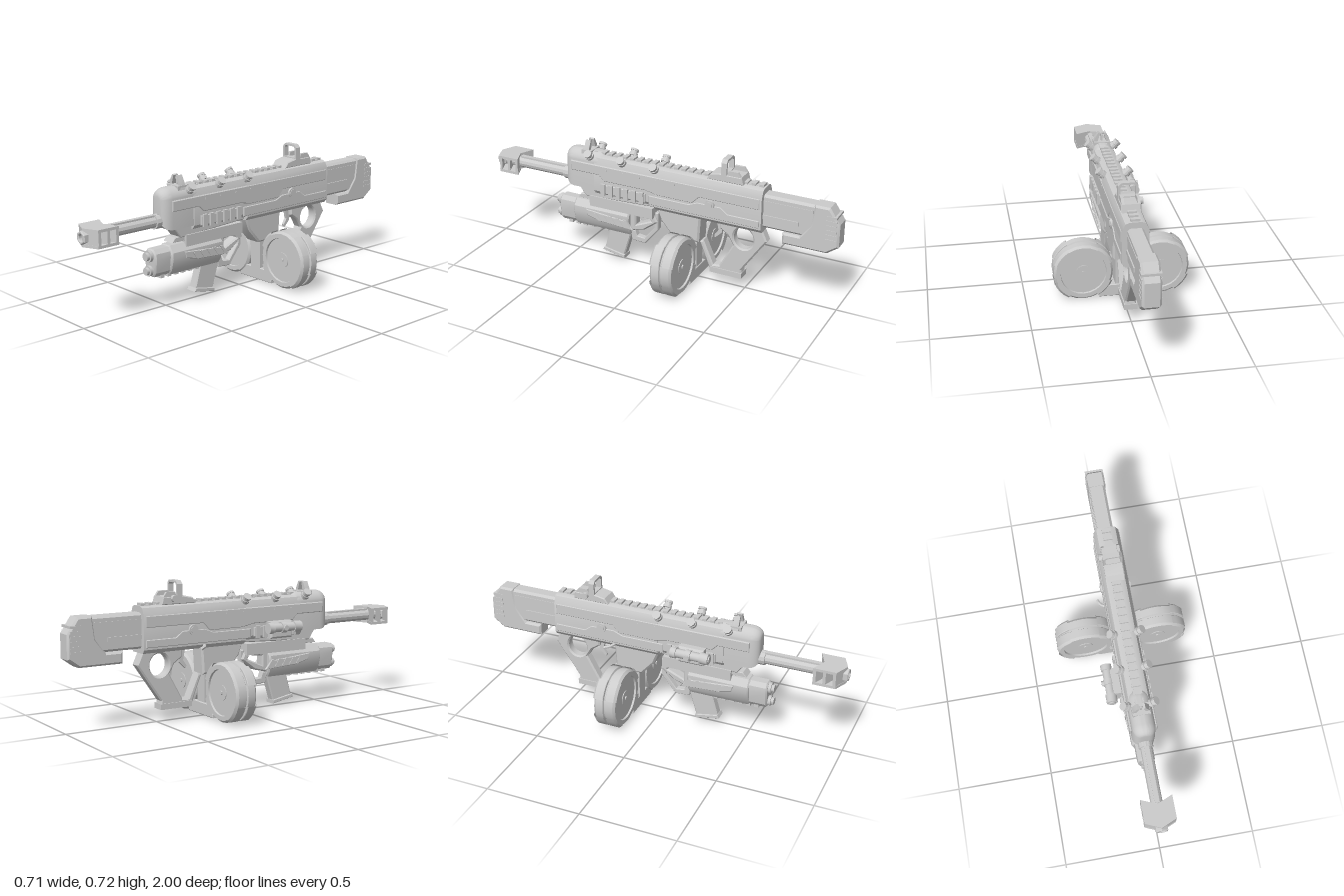
import * as THREE from 'three';
import { toCreasedNormals } from 'three/addons/utils/BufferGeometryUtils.js';

const grey = new THREE.MeshStandardMaterial({ color: 0xcccccc });

export function createModel() {
  const root = new THREE.Group();
  const V = (p) => new THREE.Vector2(p[0], p[1]);

  const add = (name, geo, parent = root) => {
    const mesh = new THREE.Mesh(toCreasedNormals(geo, 0.5), grey);
    mesh.name = name;
    parent.add(mesh);
    return mesh;
  };
  const box = (name, x0, x1, y0, y1, z0, z1, parent) =>
    add(name, new THREE.BoxGeometry(x1 - x0, y1 - y0, z1 - z0)
      .translate((x0 + x1) / 2, (y0 + y1) / 2, (z0 + z1) / 2), parent);
  // Cylinder along z
  const tube = (name, x, y, z0, z1, r, sides = 16, r2 = r) =>
    add(name, new THREE.CylinderGeometry(r2, r, z1 - z0, sides)
      .rotateX(Math.PI / 2).translate(x, y, (z0 + z1) / 2));
  // Solid with bevels kept inside the given depth
  const solid = (pts, depth, bevel, holes = []) => {
    const shape = new THREE.Shape(pts.map(V));
    holes.forEach((h) => shape.holes.push(h));
    return new THREE.ExtrudeGeometry(shape, {
      depth: depth - 2 * bevel, bevelEnabled: bevel > 0, bevelThickness: bevel,
      bevelSize: bevel, bevelOffset: -bevel, bevelSegments: 1, curveSegments: 12,
    }).translate(0, 0, bevel - depth / 2);
  };
  // Outline given as [z, y], width across x
  const side = (name, pts, width, bevel = 0, holes, x = 0) =>
    add(name, solid(pts, width, bevel, holes).rotateY(-Math.PI / 2).translate(x, 0, 0));
  // Outline given as [x, y], running from z0 to z1
  const front = (name, pts, z0, z1, bevel = 0, holes) =>
    add(name, solid(pts, z1 - z0, bevel, holes).translate(0, 0, (z0 + z1) / 2));
  const mirror = (half) => [...half, ...half.slice().reverse().map(([x, y]) => [-x, y])];
  const rectHole = (x0, x1, y0, y1) =>
    new THREE.Path([[x0, y0], [x1, y0], [x1, y1], [x0, y1]].map(V));
  const circle = (x, y, rx, ry = rx) => new THREE.Path().absellipse(x, y, rx, ry, 0, Math.PI * 2);

  // Receiver
  front('receiver', mirror([[0.05, 0.39], [0.065, 0.41], [0.066, 0.55], [0.05, 0.595], [0.03, 0.605]]), -0.3, 0.36);
  front('rearReceiver', mirror([[0.05, 0.37], [0.067, 0.39], [0.067, 0.56], [0.05, 0.598], [0.03, 0.606]]), -0.6, -0.0);
  side('lowerReceiver', [[0.47, 0.41], [0.43, 0.355], [0, 0.375], [0, 0.42]], 0.085, 0.005);

  // Rounded nose with a domed top
  const nose = new THREE.Shape();
  nose.moveTo(-0.02, 0.45);
  nose.lineTo(0.02, 0.45);
  nose.lineTo(0.02, 0.56);
  nose.absarc(0, 0.56, 0.02, 0, Math.PI);
  nose.lineTo(-0.02, 0.45);
  add('nose', new THREE.ExtrudeGeometry(nose, {
    depth: 0.14, bevelThickness: 0.055, bevelSize: 0.04, bevelSegments: 6, curveSegments: 12,
  }).translate(0, 0, 0.35));

  // Side panels, pivot pins and slotted side rails
  for (const s of [-1, 1]) {
    side('sidePanel', [[0.5, 0.505], [0.33, 0.505], [0.3, 0.475], [0.05, 0.475], [-0.02, 0.46],
      [-0.22, 0.46], [-0.26, 0.5], [-0.59, 0.5], [-0.59, 0.56], [0.5, 0.56]], 0.012, 0.004, [], s * 0.064);
    side('lowerPanel', [[0.03, 0.45], [-0.2, 0.45], [-0.25, 0.47], [-0.38, 0.47], [-0.42, 0.44],
      [-0.59, 0.44], [-0.59, 0.4], [0.03, 0.4]], 0.01, 0.003, [], s * 0.067);
    add('pivotPin', new THREE.CylinderGeometry(0.026, 0.026, 0.02, 16)
      .rotateZ(Math.PI / 2).translate(s * 0.068, 0.472, -0.32));
    add('pinCap', new THREE.CylinderGeometry(0.017, 0.017, 0.026, 16)
      .rotateZ(Math.PI / 2).translate(s * 0.068, 0.472, -0.32));
    side('sideRail', [[0.32, 0.405], [0.05, 0.405], [0.05, 0.455], [0.32, 0.455]], 0.02, 0.003, [], s * 0.063);
    for (let i = 0; i < 6; i++) {
      const z = 0.3 - i * 0.046;
      box('railTooth', s * 0.077 - 0.006, s * 0.077 + 0.006, 0.398, 0.462, z - 0.013, z + 0.013);
    }
    for (let i = 0; i < 5; i++)
      box('rivet', s * 0.067 - 0.005, s * 0.067 + 0.005, 0.536, 0.544, 0.28 - i * 0.1, 0.29 - i * 0.1);
  }

  // Top rail
  box('topRail', -0.018, 0.018, 0.595, 0.608, -0.59, 0.44);
  for (let i = 0; i < 24; i++)
    box('topRailTooth', -0.023, 0.023, 0.606, 0.618, -0.59 + i * 0.043, -0.567 + i * 0.043);

  // Three pairs of angled knobs
  for (const z of [0.385, 0.19, 0]) for (const s of [-1, 1]) {
    const knob = new THREE.Group();
    knob.name = 'angledKnob';
    [[0.014, 0, 0.05], [0.023, 0.03, 0.016], [0.019, 0.044, 0.012], [0.022, 0.055, 0.012]].forEach(([r, y, h]) =>
      add('knobRing', new THREE.CylinderGeometry(r, r, h, 12).translate(0, y, 0), knob));
    knob.position.set(s * 0.042, 0.58, z);
    knob.rotation.z = -s * Math.PI / 4;
    root.add(knob);
  }

  // Front sight
  box('frontSightBase', -0.045, 0.045, 0.595, 0.622, 0.385, 0.445);
  for (const s of [-1, 1])
    front('frontSightWing', [[s * 0.048, 0.6], [s * 0.03, 0.6], [s * 0.01, 0.668], [s * 0.02, 0.672], [s * 0.04, 0.635]], 0.4, 0.43);
  box('frontSightPost', -0.004, 0.004, 0.61, 0.652, 0.412, 0.42);
  add('frontSightRing', new THREE.TorusGeometry(0.009, 0.003, 6, 12).translate(0, 0.657, 0.416));

  // Rear sight with an open frame
  side('rearSightBase', [[-0.29, 0.605], [-0.31, 0.635], [-0.36, 0.645], [-0.48, 0.645], [-0.49, 0.605]], 0.1, 0.005);
  front('rearSightFrame', mirror([[0.05, 0.625], [0.05, 0.705], [0.034, 0.722]]), -0.4, -0.37, 0,
    [new THREE.Path(mirror([[0.038, 0.65], [0.038, 0.7], [0.03, 0.711]]).map(V))]);
  for (const s of [-1, 1])
    side('rearSightEar', [[-0.4, 0.64], [-0.41, 0.668], [-0.46, 0.668], [-0.48, 0.64]], 0.014, 0, [], s * 0.04);
  add('sightDial', new THREE.CylinderGeometry(0.018, 0.018, 0.02, 12)
    .rotateZ(Math.PI / 2).translate(-0.058, 0.635, -0.42));

  // Barrel and muzzle brake
  tube('barrel', 0, 0.455, 0.45, 0.9, 0.03, 12);
  tube('barrelCollar', 0, 0.455, 0.5, 0.57, 0.038, 12);
  box('barrelRib', -0.012, 0.012, 0.478, 0.491, 0.5, 0.86);
  const chevron = (name, back, length, y0, y1, w = 0.08) =>
    add(name, solid([[-w, back], [0, back + 0.035], [w, back], [w, back + length],
      [0, back + length + 0.035], [-w, back + length]], y1 - y0, 0)
      .rotateX(Math.PI / 2).translate(0, (y0 + y1) / 2, 0));
  chevron('muzzlePlateTop', 0.835, 0.12, 0.486, 0.5);
  chevron('muzzlePlateBottom', 0.835, 0.12, 0.408, 0.422);
  for (const z of [0.837, 0.887, 0.938]) chevron('muzzleBaffle', z, 0.015, 0.415, 0.493);
  tube('muzzleCore', 0, 0.455, 0.83, 0.98, 0.028, 12);
  front('muzzleNut', Array.from({ length: 6 }, (_, i) =>
    [0.035 * Math.sin(i * Math.PI / 3), 0.455 + 0.035 * Math.cos(i * Math.PI / 3)]), 0.95, 1, 0.004, [circle(0, 0.455, 0.018)]);

  // Shoulder stock
  side('stock', [[-0.58, 0.575], [-0.88, 0.575], [-0.88, 0.395], [-0.58, 0.395]], 0.08, 0.012);
  box('stockBar', -0.046, 0.046, 0.445, 0.468, -0.79, -0.59);
  box('stockTopStrip', -0.043, 0.043, 0.515, 0.545, -0.86, -0.59);
  side('buttPad', [[-0.865, 0.578], [-0.945, 0.578], [-1, 0.497], [-1, 0.374], [-0.94, 0.331],
    [-0.705, 0.331], [-0.705, 0.392], [-0.795, 0.392], [-0.85, 0.465]], 0.092, 0.01);
  for (let i = 0; i < 6; i++) box('buttRidge', -0.049, 0.049, 0.4 + i * 0.025, 0.412 + i * 0.025, -0.985, -0.93);

  // Rear grip with thumbhole, trigger and guard
  side('grip', [[-0.36, 0.385], [-0.59, 0.375], [-0.62, 0.31], [-0.485, 0.115], [-0.49, 0.075], [-0.31, 0.07],
    [-0.245, 0.23], [-0.268, 0.24], [-0.325, 0.112], [-0.36, 0.115], [-0.435, 0.25], [-0.405, 0.3], [-0.36, 0.33]],
  0.056, 0.008, [circle(-0.492, 0.3, 0.055, 0.06)]);
  box('gripFoot', -0.034, 0.034, 0.07, 0.1, -0.49, -0.31);
  side('trigger', [[-0.33, 0.38], [-0.37, 0.38], [-0.365, 0.3], [-0.33, 0.265], [-0.325, 0.28], [-0.345, 0.31]], 0.016);

  // Magazine well and twin drums
  side('magazineWell', [[0, 0.39], [-0.03, 0.31], [-0.1, 0.23], [-0.25, 0.23], [-0.26, 0.39]], 0.1, 0.01);
  box('feedTower', -0.035, 0.035, 0.06, 0.3, -0.235, -0.12);
  front('drumBridge', mirror([[0.12, 0.013], [0.12, 0.03], [0.09, 0.08]]), -0.24, -0.12, 0.004);
  const lathe = (profile, start = 0, sweep = Math.PI * 2, segs = 24) =>
    new THREE.LatheGeometry(profile.map(V), segs, start, sweep).rotateX(Math.PI / 2);
  for (const s of [-1, 1]) {
    const drum = new THREE.Group();
    drum.name = 'drumMagazine';
    drum.position.set(s * 0.2, 0.16, -0.18);
    root.add(drum);
    add('drumBody', lathe([[0, -0.05], [0.118, -0.05], [0.12, -0.06], [0.143, -0.06], [0.154, -0.048], [0.154, -0.008],
      [0.145, -0.004], [0.145, 0.004], [0.154, 0.008], [0.154, 0.048], [0.143, 0.06], [0.12, 0.06], [0.118, 0.05], [0, 0.05]]), drum);
    // Raised rim clamps, closed at both ends
    for (const a of [20, 120, 200, 300]) for (const k of [-1, 1]) {
      const z0 = k < 0 ? -0.066 : 0.006, z1 = k < 0 ? -0.006 : 0.066;
      const c0 = k < 0 ? 0.012 : 0.003, c1 = k < 0 ? 0.003 : 0.012;
      const clamp = add('rimClamp', lathe([[0.124, z0], [0.16 - c0, z0], [0.16, z0 + c0], [0.16, z1 - c1],
        [0.16 - c1, z1], [0.124, z1]], THREE.MathUtils.degToRad(a + 90), THREE.MathUtils.degToRad(40), 4), drum);
      clamp.material = grey.clone();
      clamp.material.side = THREE.DoubleSide;
    }
    add('drumHub', lathe([[0, -0.054], [0.04, -0.054], [0.04, 0.054], [0, 0.054]]), drum);
    add('drumBolt', lathe([[0, -0.06], [0.011, -0.06], [0.011, 0.06], [0, 0.06]], 0, Math.PI * 2, 6), drum);
  }

  // Underslung launcher
  box('launcherMount', -0.05, 0.05, 0.305, 0.365, 0.02, 0.4);
  side('launcherRail', [[0.46, 0.36], [0.02, 0.36], [0.02, 0.335], [0.48, 0.335]], 0.07, 0.003);
  front('launcherBody', mirror([[0.025, 0.172], [0.045, 0.2], [0.06, 0.26], [0.058, 0.29], [0.03, 0.325]]), 0.16, 0.5, 0.008);
  front('launcherMuzzle', mirror([[0.022, 0.178], [0.038, 0.2], [0.047, 0.27], [0.043, 0.3], [0.022, 0.32]]), 0.46, 0.595, 0.008);
  for (const [y, r] of [[0.285, 0.03], [0.21, 0.027]]) {
    tube('launcherTube', 0, y, 0.4, 0.61, r);
    tube('launcherTubeTip', 0, y, 0.6, 0.625, r * 0.7);
  }
  for (let i = 0; i < 6; i++) {
    const z = 0.3 + i * 0.045;
    box('launcherUnderTooth', -0.026, 0.026, 0.165, 0.185, z, z + 0.024);
  }
  for (const s of [-1, 1]) {
    side('launcherGuard', [[0.42, 0.285], [0.17, 0.265], [0.13, 0.22], [0.33, 0.23], [0.41, 0.25]], 0.014, 0.004, [], s * 0.056);
    for (let i = 0; i < 5; i++) {
      const z = 0.37 - i * 0.045;
      side('guardStripe', [[z, 0.272], [z - 0.018, 0.272], [z - 0.045, 0.235], [z - 0.027, 0.235]], 0.008, 0, [], s * 0.062);
    }
  }
  side('launcherRear', [[0.2, 0.32], [0.02, 0.32], [0, 0.28], [0.08, 0.22], [0.2, 0.19]], 0.06, 0.008,
    [new THREE.Path([[0.13, 0.24], [0.04, 0.28], [0.05, 0.3], [0.13, 0.29]].map(V))]);
  side('launcherHandle', [[0.17, 0.2], [0.16, 0.14], [0.08, 0.135], [0, 0.235], [0, 0.33], [0.02, 0.33],
    [0.025, 0.24], [0.085, 0.165], [0.13, 0.17], [0.14, 0.2]], 0.035, 0.004);
  side('launcherMagazine', [[0.285, 0.2], [0.325, 0.06], [0.205, 0.035], [0.155, 0.2]], 0.05, 0.006);
  side('magazineFoot', [[0.325, 0.065], [0.335, 0.047], [0.2, 0.022], [0.2, 0.042]], 0.066, 0.003);

  // Side lamp with clamp and lever
  side('lampClamp', [[0.27, 0.39], [0.27, 0.48], [0.13, 0.48], [0.13, 0.39]], 0.05, 0.01, [], -0.085);
  tube('lampBody', -0.125, 0.45, 0.11, 0.29, 0.023, 14);
  for (const [z0, z1] of [[0.1, 0.13], [0.18, 0.21], [0.26, 0.305]]) tube('lampRing', -0.125, 0.45, z0, z1, 0.029, 14);
  tube('lampLens', -0.125, 0.45, 0.3, 0.312, 0.018, 14);
  add('lampSwitch', new THREE.CylinderGeometry(0.014, 0.014, 0.03, 10)
    .rotateZ(Math.PI / 2).translate(-0.147, 0.45, 0.195));
  const lever = new THREE.QuadraticBezierCurve3(new THREE.Vector3(-0.05, 0.385, -0.25),
    new THREE.Vector3(-0.09, 0.385, -0.25), new THREE.Vector3(-0.1, 0.373, -0.295));
  add('boltLever', new THREE.TubeGeometry(lever, 6, 0.009, 6));

  return root;
}
